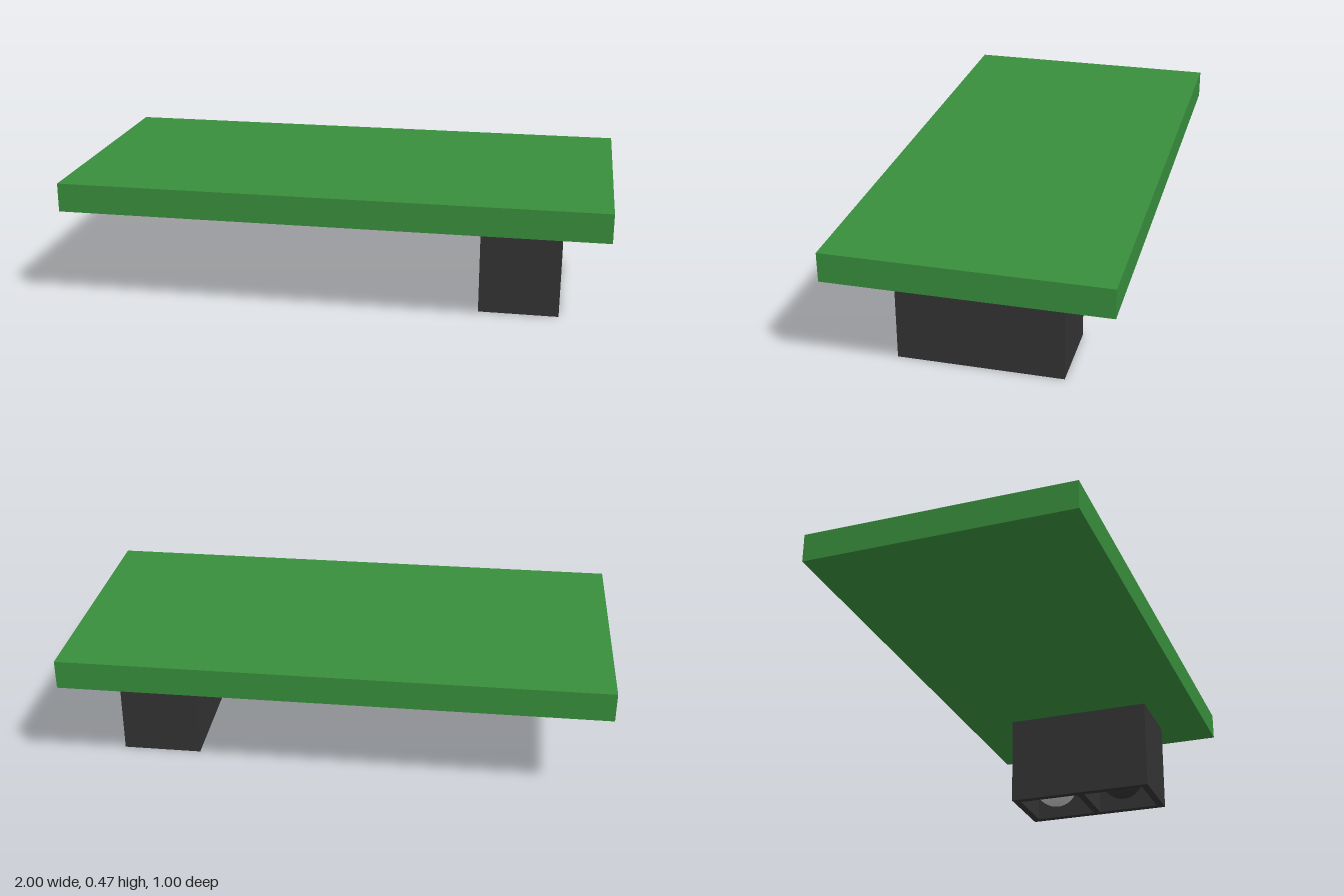
import * as THREE from 'three';

const paint = (color, roughness = 1) => new THREE.MeshStandardMaterial({ color, roughness });

export function createModel() {
  const model = new THREE.Group();
  const green = paint(0x388e3c), black = paint(0x333333);
  const add = (name, geometry, material, x, y, z, parent = model) => {
    const mesh = new THREE.Mesh(geometry, material);
    mesh.name = name;
    mesh.position.set(x, y, z);
    parent.add(mesh);
    return mesh;
  };

  // circuit board
  const underside = 0.367, thick = 0.107;
  add('board', new THREE.BoxGeometry(2, thick, 1), green, 0, underside + thick / 2, 0);

  // sensor housing under one end, open downwards with two square wells
  const housing = new THREE.Group();
  housing.name = 'sensorHousing';
  housing.position.set(0.682, 0, 0);
  model.add(housing);
  const w = 0.296, d = 0.6, wall = 0.03, depth = 0.2;
  const rect = (path, x0, y0, x1, y1) =>
    path.moveTo(x0, y0).lineTo(x1, y0).lineTo(x1, y1).lineTo(x0, y1).closePath();
  const outline = rect(new THREE.Shape(), -w / 2, -d / 2, w / 2, d / 2);
  for (const s of [-1, 1]) {
    const a = s * wall / 2, b = s * (d / 2 - wall);
    outline.holes.push(rect(new THREE.Path(), -w / 2 + wall, Math.min(a, b), w / 2 - wall, Math.max(a, b)));
  }
  const walls = new THREE.ExtrudeGeometry(outline, { depth: underside, bevelEnabled: false });
  walls.rotateX(-Math.PI / 2);
  add('housingWalls', walls, black, 0, 0, 0, housing);
  add('wellFloor', new THREE.BoxGeometry(w - wall, underside - depth, d - wall), black,
    0, (underside + depth) / 2, 0, housing);

  // round-nosed emitter and receiver, one in each well
  const r = 0.09, tip = 0.01;
  const profile = [new THREE.Vector2(0, tip)];
  for (let i = 1; i <= 12; i++) {
    const t = (i / 12) * Math.PI / 2;
    profile.push(new THREE.Vector2(r * Math.sin(t), tip + r - r * Math.cos(t)));
  }
  profile.push(new THREE.Vector2(r, depth));
  const lens = new THREE.LatheGeometry(profile, 32);
  add('emitterLens', lens, paint(0xcccccc), 0, 0, -0.15, housing);
  add('receiverLens', lens, paint(0x333333), 0, 0, 0.15, housing);

  return model;
}
